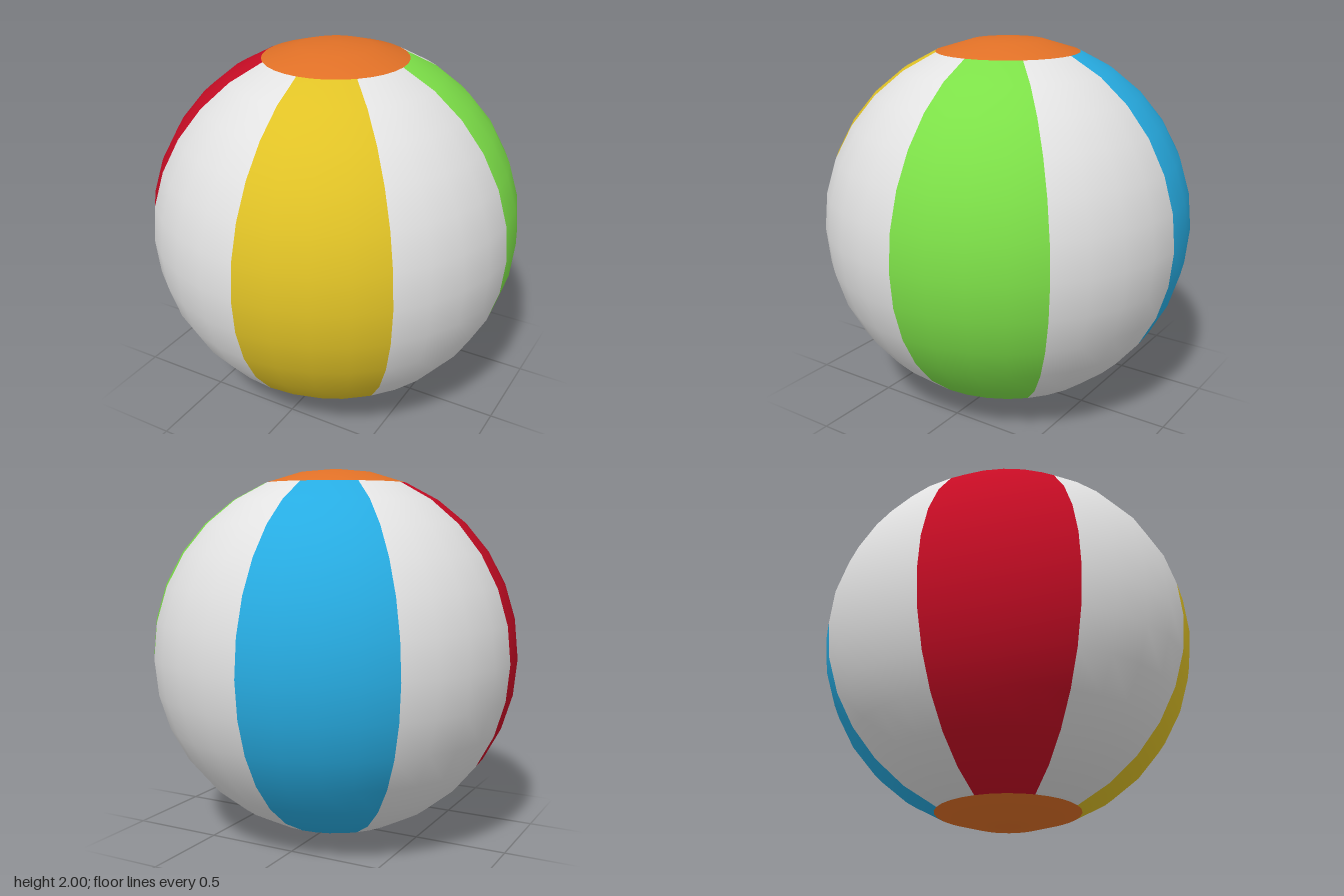
import * as THREE from 'three';

const mat = (name, color) => {
  const m = new THREE.MeshStandardMaterial({ color });
  m.name = name;
  return m;
};

export function createModel() {
  const white = mat('white', 0xe2e2e2);
  const red = mat('red', 0xc60c24);
  const yellow = mat('yellow', 0xe0c226);
  const green = mat('green', 0x7de048);
  const blue = mat('blue', 0x27ace2);
  const orange = mat('orange', 0xe07026);

  const ball = new THREE.Group();
  ball.name = 'beachBall';
  const capAngle = Math.PI / 8;
  const wedge = Math.PI / 4;

  // adds a smooth patch of the unit sphere, resting on the ground
  const addPatch = (name, material, segments, rings, phi, phiLength, theta, thetaLength) => {
    const geometry = new THREE.SphereGeometry(1, segments, rings, phi, phiLength, theta, thetaLength);
    const mesh = new THREE.Mesh(geometry, material);
    mesh.name = name;
    mesh.position.y = 1;
    ball.add(mesh);
  };

  // eight vertical panels, coloured and white in turn
  [red, white, yellow, white, green, white, blue, white].forEach((material, i) => {
    addPatch(`${material.name}Panel${i + 1}`, material, 4, 12, i * wedge, wedge, capAngle, Math.PI - 2 * capAngle);
  });

  // round end caps
  addPatch('topCap', orange, 32, 2, 0, Math.PI * 2, 0, capAngle);
  addPatch('bottomCap', orange, 32, 2, 0, Math.PI * 2, Math.PI - capAngle, capAngle);

  return ball;
}
